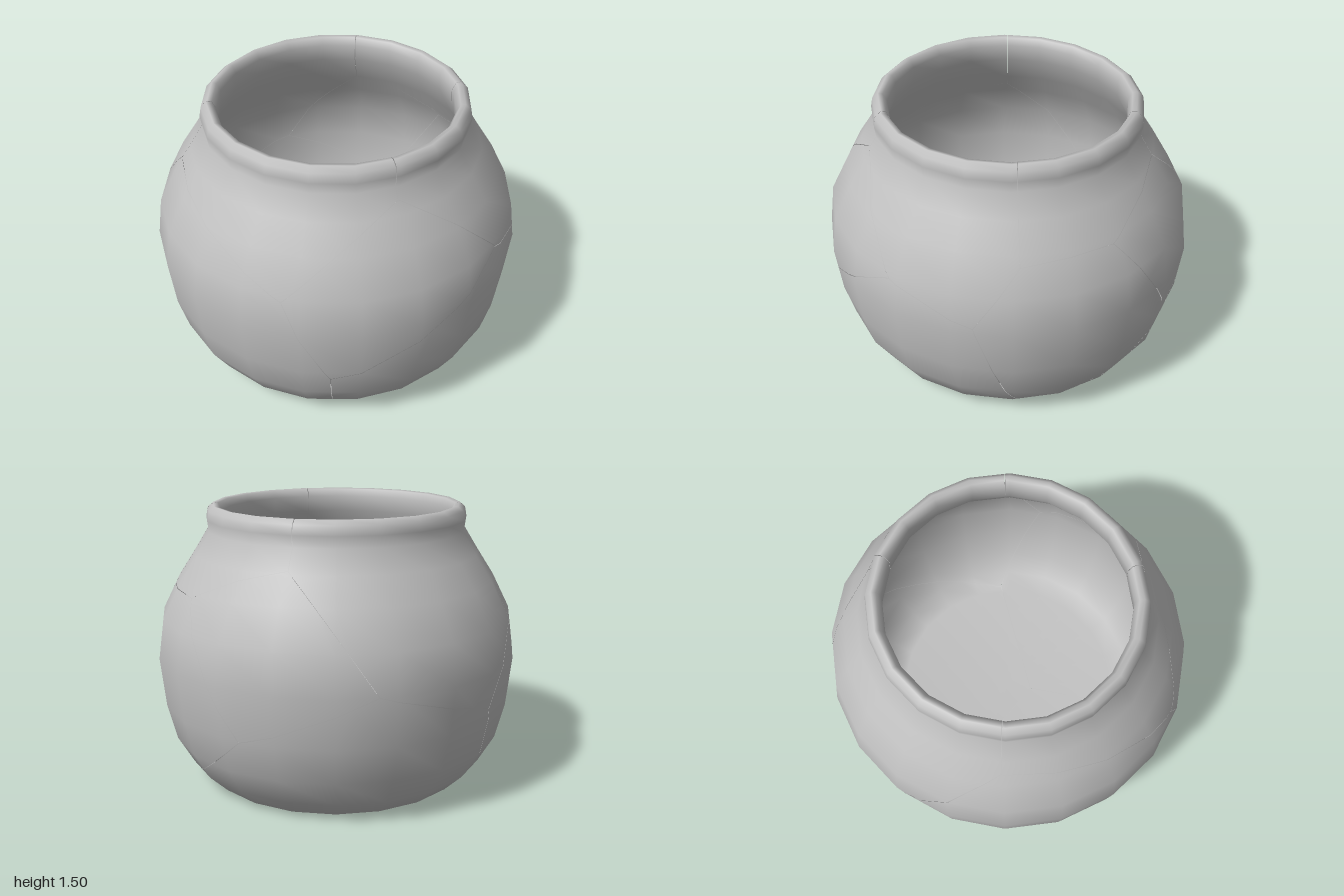
import * as THREE from 'three';

const CENTRE = new THREE.Vector3(0, 0.7, 0);
const GAP = 0.0015; // half width of a crack

// wall profile: base centre, up the outside, over the rim, down the inside
const PROFILE = [
  [0, 0], [0.66, 0], [0.72, 0.003], [0.82, 0.1], [0.907, 0.25], [0.957, 0.445], [0.985, 0.71],
  [0.955, 0.92], [0.86, 1.11], [0.77, 1.25], [0.697, 1.37], [0.705, 1.43], [0.695, 1.48],
  [0.665, 1.505], [0.64, 1.5], [0.62, 1.46], [0.625, 1.37], [0.7, 1.22], [0.79, 1.08],
  [0.88, 0.9], [0.905, 0.7], [0.885, 0.46], [0.83, 0.28], [0.75, 0.14], [0.64, 0.08], [0, 0.075],
];

// points where cracks meet; T closes the mouth above the rim
const POINTS = {
  T: [0, 1.8, 0], A: [-0.67, 1.18, 0.47], B: [0.2, 0.89, 0.93], C: [0.57, 1.31, 0.45],
  D: [0.42, 0.38, 0.845], E: [0.95, 0.89, 0.05], F: [0.89, 0.74, -0.41], G: [0.69, 1.06, -0.55],
  H: [0.3, 1.08, -0.83], K: [-0.24, 1.26, -0.72], M: [-0.73, 0.71, -0.66], N: [-0.97, 0.52, 0],
  Q: [-0.1, 0.435, -0.95], J: [0.55, 0.04, -0.48], S: [0.08, 0, 0.14],
};

// each shard is the part of the pot inside a convex ring of crack points
const SHARDS = {
  frontRimShard: 'TABC', leftRimShard: 'TCEFG', backRimShard: 'TGHK', rightRimShard: 'TKMNA',
  frontLeftShard: 'BCED', frontBaseShard: 'ABDSN', leftBaseShard: 'DEFJS',
  backLeftShard: 'FGHQJ', backRightShard: 'HKMQ', backBaseShard: 'MNSJQ',
};

// planes through the centre and each side of the ring, facing inward
function ringPlanes(ring) {
  const dirs = [...ring].map((k) => new THREE.Vector3(...POINTS[k]).sub(CENTRE).normalize());
  const middle = dirs.reduce((sum, d) => sum.add(d), new THREE.Vector3());
  return dirs.map((d, i) => {
    const n = d.clone().cross(dirs[(i + 1) % dirs.length]).normalize();
    if (n.dot(middle) < 0) n.negate();
    return new THREE.Plane(n, -n.dot(CENTRE) - GAP);
  });
}

// keeps the part of a polygon in front of a plane
function clip(poly, plane) {
  const out = [];
  poly.forEach((a, i) => {
    const b = poly[(i + 1) % poly.length];
    const da = plane.distanceToPoint(a.p), db = plane.distanceToPoint(b.p);
    if (da >= 0) out.push(a);
    if ((da >= 0) !== (db >= 0)) {
      const t = da / (da - db);
      out.push({ p: a.p.clone().lerp(b.p, t), n: a.n.clone().lerp(b.n, t).normalize() });
    }
  });
  return out;
}

// whole pot as a list of smooth-shaded triangles
function potTriangles() {
  const lathe = new THREE.LatheGeometry(PROFILE.map(([x, y]) => new THREE.Vector2(x, y)), 20);
  lathe.scale(1, 1, 1.015);
  const geo = lathe.toNonIndexed();
  const pos = geo.attributes.position, nor = geo.attributes.normal;
  const tris = [];
  for (let i = 0; i < pos.count; i += 3) {
    const tri = [0, 1, 2].map((k) => ({
      p: new THREE.Vector3().fromBufferAttribute(pos, i + k),
      n: new THREE.Vector3().fromBufferAttribute(nor, i + k),
    }));
    if (new THREE.Triangle(tri[0].p, tri[1].p, tri[2].p).getArea() > 1e-7) tris.push(tri);
  }
  return tris;
}

function shardGeometry(tris, ring) {
  const planes = ringPlanes(ring), pos = [], nor = [];
  for (const tri of tris) {
    const poly = planes.reduce(clip, tri);
    for (let i = 1; i + 1 < poly.length; i++) {
      for (const v of [poly[0], poly[i], poly[i + 1]]) {
        pos.push(v.p.x, v.p.y, v.p.z);
        nor.push(v.n.x, v.n.y, v.n.z);
      }
    }
  }
  const geo = new THREE.BufferGeometry();
  geo.setAttribute('position', new THREE.Float32BufferAttribute(pos, 3));
  geo.setAttribute('normal', new THREE.Float32BufferAttribute(nor, 3));
  return geo;
}

export function createModel() {
  const group = new THREE.Group();
  group.name = 'crackedPot';
  const clay = new THREE.MeshStandardMaterial({ color: 0xc0c0c0, side: THREE.DoubleSide });
  clay.name = 'greyClay';
  const tris = potTriangles();
  for (const [name, ring] of Object.entries(SHARDS)) {
    const mesh = new THREE.Mesh(shardGeometry(tris, ring), clay);
    mesh.name = name;
    group.add(mesh);
  }
  return group;
}
